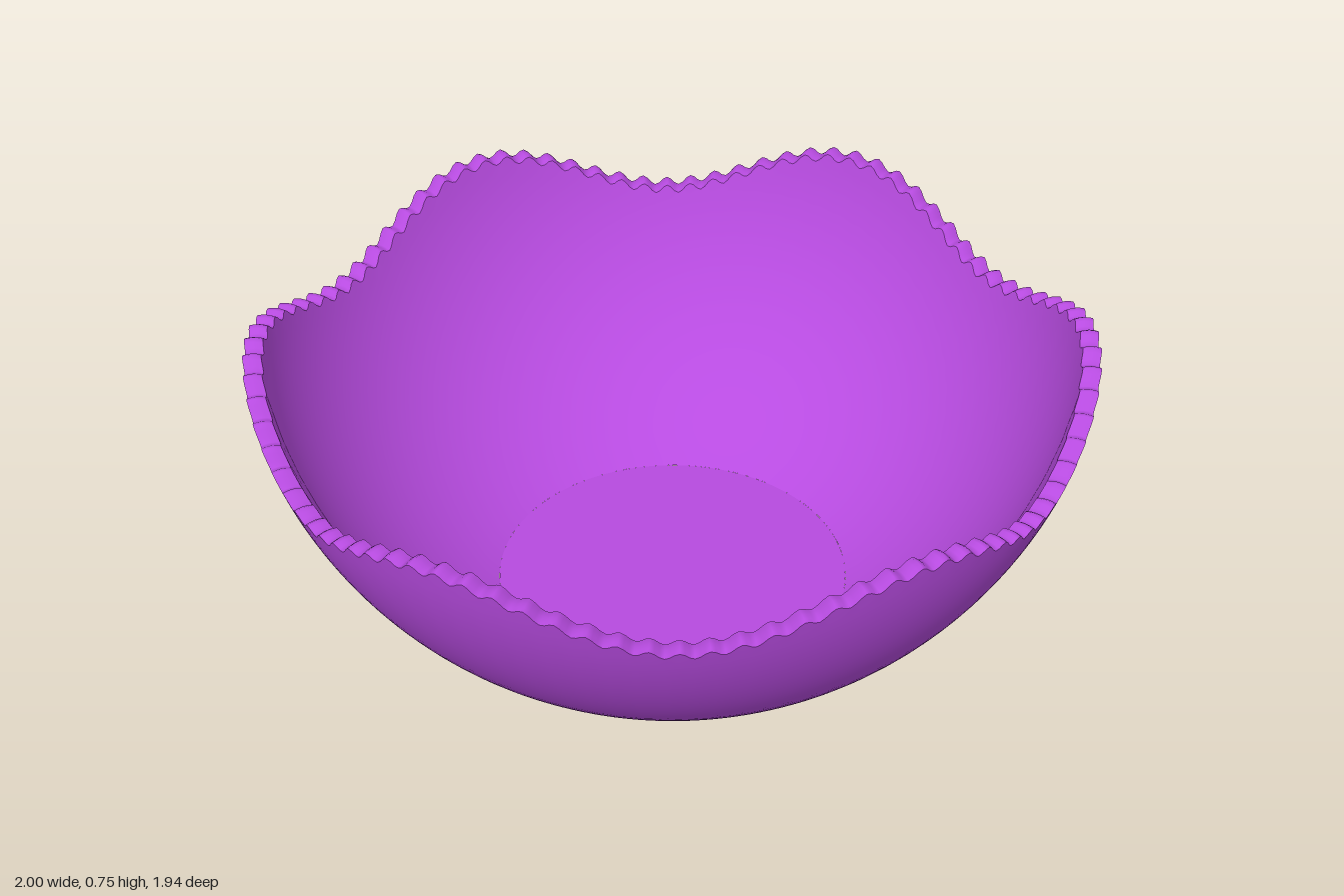
import * as THREE from 'three';

const CENTRE_Y = 0.903; // centre of both spherical walls
const OUTER_R = 1.013;
const INNER_R = 0.97;
const FLOOR_Y = 0.036;
const RIPPLES = 96;
const SEGMENTS = RIPPLES * 6;

// Six broad waves with a fine ripple on top
const rimHeight = (a) => 0.667 + 0.067 * Math.cos(6 * a) + 0.01 * Math.cos(RIPPLES * a);
const radiusAt = (R, y) => Math.sqrt(R * R - (CENTRE_Y - y) ** 2);

// Closed ring surface; profile(t, angle) gives [radius, height]
function band(rows, profile) {
  const positions = [];
  const index = [];
  for (let j = 0; j <= rows; j++) {
    for (let k = 0; k < SEGMENTS; k++) {
      const a = (k / SEGMENTS) * Math.PI * 2;
      const [r, y] = profile(j / rows, a);
      positions.push(r * Math.cos(a), y, r * Math.sin(a));
      if (j === rows) continue;
      const p = j * SEGMENTS + k;
      const q = j * SEGMENTS + ((k + 1) % SEGMENTS);
      index.push(p, p + SEGMENTS, q, q, p + SEGMENTS, q + SEGMENTS);
    }
  }
  const geometry = new THREE.BufferGeometry();
  geometry.setAttribute('position', new THREE.Float32BufferAttribute(positions, 3));
  geometry.setIndex(index);
  geometry.computeVertexNormals();
  return geometry;
}

// Wall following a sphere from a flat base height to the wavy rim
function wallPoint(R, baseY, t, a) {
  const low = Math.acos((CENTRE_Y - baseY) / R);
  const high = Math.acos((CENTRE_Y - rimHeight(a)) / R);
  const s = low + (high - low) * t;
  return [R * Math.sin(s), CENTRE_Y - R * Math.cos(s)];
}

export function createModel() {
  const group = new THREE.Group();
  group.name = 'wavyBowl';
  const material = new THREE.MeshStandardMaterial({ color: 0xb74be0 });

  const add = (name, geometry) => {
    const mesh = new THREE.Mesh(geometry, material);
    mesh.name = name;
    group.add(mesh);
    return mesh;
  };

  add('outerWall', band(24, (t, a) => wallPoint(OUTER_R, 0, t, a)));
  add('innerWall', band(24, (t, a) => wallPoint(INNER_R, FLOOR_Y, 1 - t, a)));

  // Rippled lip joining the two walls
  add('rim', band(4, (t, a) => {
    const y = rimHeight(a);
    const outer = radiusAt(OUTER_R, y);
    const inner = radiusAt(INNER_R, y);
    return [outer + (inner - outer) * t, y + 0.004 * Math.sin(Math.PI * t)];
  }));

  // Flat floor inside and flat foot underneath
  const floor = add('floor', new THREE.CircleGeometry(radiusAt(INNER_R, FLOOR_Y), 96));
  floor.rotation.x = -Math.PI / 2;
  floor.position.y = FLOOR_Y;
  const foot = add('foot', new THREE.CircleGeometry(radiusAt(OUTER_R, 0), 96));
  foot.rotation.x = Math.PI / 2;

  return group;
}
